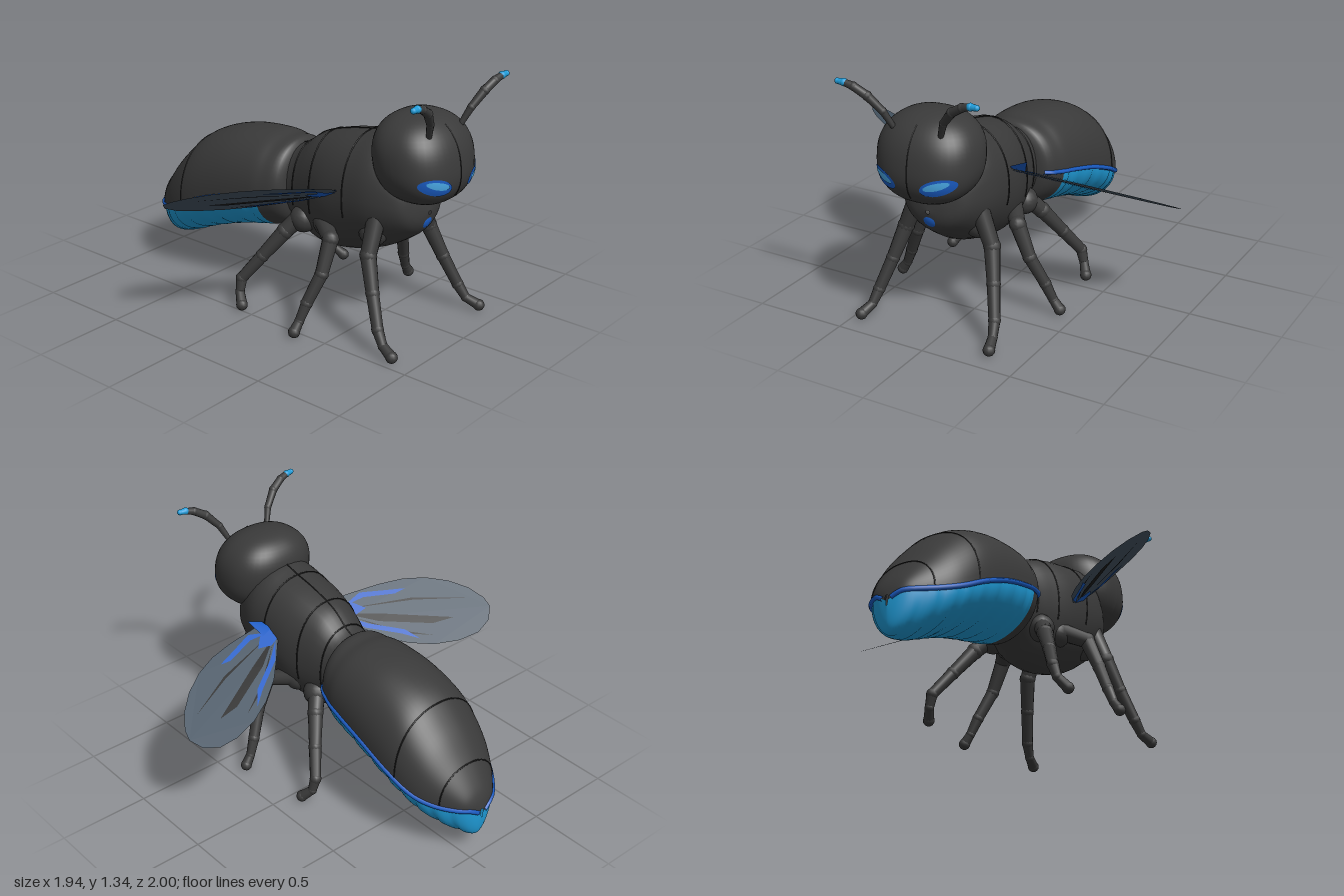
import * as THREE from 'three';
import { mergeVertices } from 'three/addons/utils/BufferGeometryUtils.js';

const mat = (name, color, side = THREE.FrontSide) => {
  const m = new THREE.MeshStandardMaterial({ color, side });
  m.name = name;
  return m;
};

// Sections along the body: [z, bottom, middle, top, half width]
const THORAX = [
  [0.815, 0.66, 0.67, 0.68, 0.01], [0.795, 0.59, 0.68, 0.78, 0.11], [0.74, 0.53, 0.72, 0.93, 0.19],
  [0.6, 0.44, 0.74, 1.05, 0.245], [0.45, 0.38, 0.72, 1.03, 0.25], [0.3, 0.345, 0.68, 1.0, 0.24],
  [0.15, 0.345, 0.65, 0.95, 0.2], [0.04, 0.41, 0.63, 0.87, 0.17], [-0.05, 0.45, 0.63, 0.84, 0.16],
];
const ABDOMEN = [
  [0.03, 0.6, 0.63, 0.66, 0.03], [0.0, 0.42, 0.625, 0.85, 0.2], [-0.1, 0.37, 0.605, 0.87, 0.255],
  [-0.2, 0.345, 0.585, 0.88, 0.275], [-0.4, 0.295, 0.53, 0.86, 0.29], [-0.6, 0.225, 0.45, 0.79, 0.29],
  [-0.75, 0.16, 0.375, 0.66, 0.26], [-0.86, 0.12, 0.335, 0.53, 0.2], [-0.95, 0.11, 0.315, 0.41, 0.12],
  [-0.985, 0.145, 0.305, 0.345, 0.065], [-1.0, 0.24, 0.27, 0.29, 0.005],
];

// Smooth section at parameter t, counted in sections
function sectionAt(secs, t) {
  const n = secs.length - 1, i = Math.min(Math.floor(t), n - 1), f = t - i;
  const p = (k) => secs[Math.max(0, Math.min(n, k))];
  return secs[0].map((_, c) => {
    const a = p(i - 1)[c], b = p(i)[c], d = p(i + 1)[c], e = p(i + 2)[c];
    const m0 = (d - a) / 2, m1 = (e - b) / 2;
    return b + f * (m0 + f * (3 * (d - b) - 2 * m0 - m1 + f * (2 * (b - d) + m0 + m1)));
  });
}

// Point on the skin: angle 0..PI is the upper half, PI..2PI the lower one
function skin(secs, t, a, grow = 0) {
  const [z, bot, mid, top, w] = sectionAt(secs, t);
  const c = Math.cos(a), s = Math.sin(a);
  const x = Math.sign(c) * Math.abs(c) ** (s < 0 ? 1.15 : 0.9) * (w + grow);
  const y = s < 0 ? mid + (mid - bot + grow) * s : mid + (top - mid + grow) * s ** 0.9;
  return new THREE.Vector3(x, y, z);
}

function loft(secs, a0, a1, t0 = 0, t1 = secs.length - 1, grow = () => 0) {
  const nt = Math.ceil((t1 - t0) * 6), na = 32, pos = [], idx = [];
  for (let i = 0; i <= nt; i++) {
    const t = t0 + ((t1 - t0) * i) / nt;
    for (let j = 0; j <= na; j++) pos.push(...skin(secs, t, a0 + ((a1 - a0) * j) / na, grow(t)));
  }
  for (let i = 0; i < nt; i++) for (let j = 0; j < na; j++) {
    const p = i * (na + 1) + j, q = p + na + 1;
    idx.push(p, q, p + 1, q, q + 1, p + 1);
  }
  let g = new THREE.BufferGeometry();
  g.setAttribute('position', new THREE.Float32BufferAttribute(pos, 3));
  g.setIndex(idx);
  g = mergeVertices(g, 1e-4);
  g.computeVertexNormals();
  return g;
}

const tube = (pts, r, n = 40) => new THREE.TubeGeometry(new THREE.CatmullRomCurve3(pts), n, r, 6);
const range = (n, f) => Array.from({ length: n + 1 }, (_, i) => f(i / n));

// Boxy ellipsoid for the head, chin pushed forward
const HEAD = { y: 0.965, z: 0.765, rx: 0.268, ry: 0.228, rz: 0.222, p: 2.35, lean: 0.14 };
function headFront(x, y) {
  const u = Math.abs(x / HEAD.rx) ** HEAD.p + Math.abs((y - HEAD.y) / HEAD.ry) ** HEAD.p;
  return HEAD.z + HEAD.rz * Math.max(0, 1 - u) ** (1 / HEAD.p) + HEAD.lean * (HEAD.y - y);
}
function headGeometry() {
  const g = new THREE.SphereGeometry(1, 48, 32), pos = g.attributes.position, v = new THREE.Vector3();
  for (let i = 0; i < pos.count; i++) {
    v.fromBufferAttribute(pos, i);
    v.divideScalar((Math.abs(v.x) ** HEAD.p + Math.abs(v.y) ** HEAD.p + Math.abs(v.z) ** HEAD.p) ** (1 / HEAD.p));
    pos.setXYZ(i, v.x * HEAD.rx, HEAD.y + v.y * HEAD.ry, HEAD.z + v.z * HEAD.rz - HEAD.lean * v.y * HEAD.ry);
  }
  g.computeVertexNormals();
  return g;
}
// Oval plate that follows the face
function facePatch(cx, cy, rx, ry, rot, lift) {
  const g = new THREE.RingGeometry(0.001, 1, 28, 5), pos = g.attributes.position;
  for (let i = 0; i < pos.count; i++) {
    const a = pos.getX(i) * rx, b = pos.getY(i) * ry;
    const x = cx + a * Math.cos(rot) - b * Math.sin(rot), y = cy + a * Math.sin(rot) + b * Math.cos(rot);
    pos.setXYZ(i, x, y, headFront(x, y) + lift);
  }
  g.computeVertexNormals();
  return g;
}

export function createModel() {
  const root = new THREE.Group(), body = new THREE.Group();
  root.name = 'insect';
  body.name = 'body';
  body.position.x = -0.067;
  root.add(body);
  const M = {
    dark: mat('charcoal', 0x3a3a3a, THREE.DoubleSide), seam: mat('seam black', 0x1a1a1a, THREE.DoubleSide),
    cyan: mat('cyan', 0x1f9bd7, THREE.DoubleSide), blue: mat('royal blue', 0x1a5cc4, THREE.DoubleSide),
    glow: mat('light blue', 0x4fb4f5), wing: mat('wing slate', 0x445361, THREE.DoubleSide),
  };
  const add = (name, geo, m, parent = body) => {
    const mesh = new THREE.Mesh(geo, m);
    mesh.name = name;
    parent.add(mesh);
    return mesh;
  };
  const V = (x, y, z) => new THREE.Vector3(x, y, z);
  const PI = Math.PI;

  // Trunk, abdomen shell and segmented belly
  add('thorax', loft(THORAX, -PI / 2, 1.5 * PI), M.dark);
  add('abdomenShell', loft(ABDOMEN, 0, PI, 0, 10, () => 0.006), M.dark);
  add('waistUnderside', loft(ABDOMEN, PI, 2 * PI, 0, 2.2), M.dark);
  const rings = [2.9, 3.5, 4.2, 4.8, 5.4, 6, 6.8, 7.6];
  const groove = (t) => -0.012 * Math.max(0, ...rings.map((r) => 1 - Math.abs(t - r) / 0.17));
  add('belly', loft(ABDOMEN, PI, 2 * PI, 2.2, 10, groove), M.cyan);

  // Seams between the body plates
  const hoop = (secs, t, a0, a1, g) => tube(range(24, (k) => skin(secs, t, a0 + (a1 - a0) * k, g)), 0.004);
  for (const t of [5.3, 7.2]) add('shellSeam', hoop(ABDOMEN, t, 0, PI, 0.005), M.seam);
  for (const t of [4, 5.6, 6.8]) add('thoraxSeam', hoop(THORAX, t, -0.3, PI + 0.3, 0), M.seam);
  add('backSeam', tube(range(16, (k) => skin(THORAX, 3 + 5 * k, PI / 2)), 0.004), M.seam);

  // Blue rim along the shell edge
  for (const a of [0, PI])
    add('shellRim', tube(range(30, (k) => skin(ABDOMEN, 1 + 8.7 * k, a, 0.004)), 0.013), M.blue);

  // Head, with a fine line down the middle
  add('head', headGeometry(), M.dark);
  add('faceSeam', tube(range(14, (k) => {
    const y = 0.8 + 0.35 * k;
    return V(0, y, headFront(0, y));
  }), 0.003), M.seam);
  const badge = add('chestPatch', new THREE.SphereGeometry(1, 16, 12), M.blue);
  badge.scale.set(0.045, 0.04, 0.018);
  badge.position.set(0, 0.615, 0.79);
  badge.rotation.x = 0.35;

  // Limb of tapered segments with round joints
  const limb = (name, pts, radii, m = M.dark) => {
    const g = new THREE.Group();
    g.name = name;
    body.add(g);
    pts.forEach((p, i) => {
      add('joint', new THREE.SphereGeometry(radii[i] * 1.08, 12, 8), m, g).position.copy(p);
      if (!i) return;
      const d = p.clone().sub(pts[i - 1]);
      const seg = add('segment', new THREE.CylinderGeometry(radii[i], radii[i - 1], d.length(), 12), m, g);
      seg.position.copy(p).addScaledVector(d, -0.5);
      seg.quaternion.setFromUnitVectors(V(0, 1, 0), d.normalize());
    });
  };
  const LEGS = {
    frontLeg: [[0.17, 0.68, 0.62], [0.255, 0.47, 0.63], [0.3, 0.3, 0.695], [0.345, 0.14, 0.765], [0.36, 0.07, 0.81], [0.38, 0.04, 0.88]],
    middleLeg: [[0.15, 0.54, 0.24], [0.27, 0.5, 0.4], [0.34, 0.33, 0.4], [0.41, 0.18, 0.36], [0.45, 0.09, 0.345], [0.485, 0.04, 0.34]],
    hindLeg: [[0.14, 0.54, 0.13], [0.22, 0.43, 0.05], [0.3, 0.29, -0.04], [0.37, 0.16, -0.125], [0.39, 0.09, -0.12], [0.425, 0.04, -0.075]],
  };
  for (const s of [1, -1]) {
    const side = s > 0 ? 'left' : 'right';
    for (const [name, pts] of Object.entries(LEGS))
      limb(name + '_' + side, pts.map(([x, y, z]) => V(s * x, y, z)), [0.05, 0.042, 0.034, 0.03, 0.024, 0.029]);
    // Hip knobs under the thorax
    for (const [y, z] of [[0.55, 0.58], [0.52, 0.28], [0.5, 0.12]]) {
      const hip = add('hip_' + side, new THREE.SphereGeometry(0.075, 16, 12), M.dark);
      hip.position.set(s * 0.15, y, z);
    }
    // Antennae with cyan tips
    const ant = [V(s * 0.13, 1.11, 0.885), V(s * 0.17, 1.2, 0.92), V(s * 0.235, 1.275, 0.95), V(s * 0.3, 1.315, 0.965), V(s * 0.35, 1.33, 0.972)];
    limb('antenna_' + side, ant, [0.014, 0.019, 0.023, 0.021, 0.017]);
    limb('antennaTip_' + side, [ant[4], V(s * 0.385, 1.332, 0.975)], [0.0185, 0.014], M.cyan);
    // Eyes
    add('eye_' + side, facePatch(s * 0.15, 0.88, 0.085, 0.042, s * 0.3, 0.004), M.blue);
    add('eyeGlow_' + side, facePatch(s * 0.148, 0.89, 0.062, 0.019, s * 0.3, 0.008), M.glow);
  }

  // Wings: outline in (length, width), laid on a sloping plane
  const OUTLINE = [[-0.06, 0.02], [0.01, 0.095], [0.21, 0.143], [0.35, 0.165], [0.48, 0.165], [0.61, 0.142], [0.72, 0.1], [0.8, 0.045],
    [0.83, 0], [0.815, -0.07], [0.75, -0.13], [0.64, -0.165], [0.5, -0.178], [0.36, -0.165], [0.22, -0.13], [0.1, -0.075], [0, -0.025]];
  const DARK_VEINS = [[[0, 0], [0.25, -0.015], [0.62, -0.05], [0.5, -0.075], [0.2, -0.05]], [[0, 0.02], [0.4, 0.05], [0.7, 0.045], [0.4, 0.062]],
    [[0.05, -0.02], [0.3, -0.1], [0.5, -0.135], [0.3, -0.115]]];
  const BLUE_VEINS = [[[0, 0.03], [0.12, 0.075], [0.3, 0.085], [0.36, 0.11], [0.24, 0.105], [0.1, 0.1]],
    [[0.02, -0.02], [0.14, -0.06], [0.34, -0.1], [0.42, -0.15], [0.32, -0.12], [0.12, -0.08]],
    [[-0.04, -0.02], [0.06, -0.02], [0.13, 0.02], [0.06, 0.05], [-0.04, 0.05]]];
  const wing = (name, base, tip, plane) => {
    const g = new THREE.Group();
    g.name = name;
    root.add(g);
    const u = new THREE.Vector2(...tip).sub(new THREE.Vector2(...base)).normalize();
    const v = new THREE.Vector2(-u.y, u.x).multiplyScalar(Math.sign(u.x));
    const plate = (part, pts, m, lift) => {
      const geo = new THREE.ShapeGeometry(new THREE.Shape(pts.map((p) => new THREE.Vector2(...p))));
      const pos = geo.attributes.position;
      for (let i = 0; i < pos.count; i++) {
        const a = pos.getX(i), b = pos.getY(i);
        const x = base[0] + a * u.x + b * v.x, z = base[1] + a * u.y + b * v.y;
        pos.setXYZ(i, x, plane(x, z) + lift, z);
      }
      // Keep the plate facing up on both sides
      if (u.x > 0) geo.setIndex([...geo.index.array].reverse());
      geo.computeVertexNormals();
      add(part, geo, m, g);
    };
    plate('membrane', OUTLINE, M.wing, 0);
    for (const lift of [0.004, -0.004]) {
      DARK_VEINS.forEach((p) => plate('darkVein', p, M.seam, lift));
      BLUE_VEINS.forEach((p) => plate('blueVein', p, M.blue, lift * 1.5));
    }
  };
  wing('wing_left', [0.18, 0.36], [0.96, 0.07], (x, z) => 0.585 + 0.53 * z);
  wing('wing_right', [-0.31, 0.36], [-0.965, -0.13], (x, z) => 0.404 - 0.42 * x + 0.528 * z);

  // Small fin at the left wing root
  const fin = new THREE.BufferGeometry().setFromPoints([V(0.16, 0.8, 0.4), V(0.23, 0.78, 0.37), V(0.285, 0.875, 0.45), V(0.19, 0.835, 0.45)]);
  fin.setIndex([0, 1, 2, 0, 2, 3]);
  fin.computeVertexNormals();
  add('wingRootFin', fin, M.blue, root);
  return root;
}
